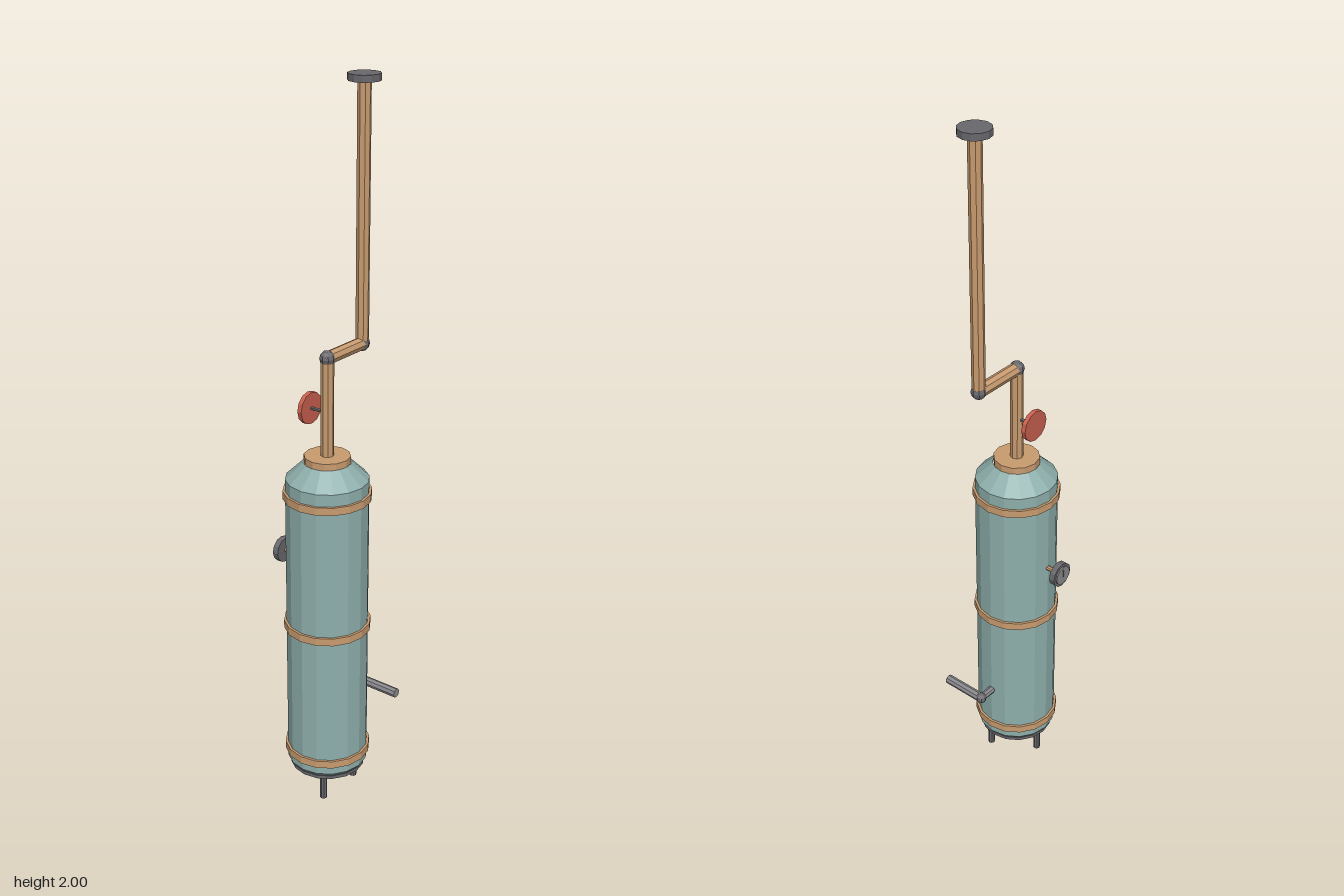
import * as THREE from 'three';

export function createModel() {
  const model = new THREE.Group();
  model.name = 'boiler';

  const material = (name, color) => {
    const m = new THREE.MeshStandardMaterial({ color, flatShading: true });
    m.name = name;
    return m;
  };
  const teal = material('teal enamel', 0x8fb0ad);
  const copper = material('copper', 0xc99c70);
  const iron = material('dark iron', 0x68686d);
  const steel = material('steel', 0x8a8a8e);
  const red = material('red paint', 0xc8604f);

  const X = -0.037, Z = 0.02;   // tank axis
  const PX = 0.112;             // upper flue axis

  const add = (name, geometry, mat, x, y, z) => {
    const mesh = new THREE.Mesh(geometry, mat);
    mesh.name = name;
    mesh.position.set(x, y, z);
    model.add(mesh);
    return mesh;
  };
  // Cylinder standing between two heights
  const upright = (name, mat, x, z, y0, y1, r0, r1, sides) =>
    add(name, new THREE.CylinderGeometry(r1, r0, y1 - y0, sides), mat, x, (y0 + y1) / 2, z);
  // Cylinder along the z axis
  const alongZ = (name, mat, x, y, z0, z1, r, sides) => {
    const g = new THREE.CylinderGeometry(r, r, z1 - z0, sides).rotateX(Math.PI / 2);
    return add(name, g, mat, x, y, (z0 + z1) / 2);
  };
  // Cylinder along the x axis
  const alongX = (name, mat, x0, x1, y, z, r, sides) => {
    const g = new THREE.CylinderGeometry(r, r, x1 - x0, sides).rotateZ(Math.PI / 2);
    return add(name, g, mat, (x0 + x1) / 2, y, z);
  };
  const joint = (name, mat, x, y, z, r) => add(name, new THREE.SphereGeometry(r, 8, 6), mat, x, y, z);

  // Tank with tapered foot and sloping shoulder
  const profile = [[0.1, 0.084], [0.113, 0.1], [0.113, 0.965], [0.064, 1.012]]
    .map(([r, y]) => new THREE.Vector2(r, y));
  add('tank', new THREE.LatheGeometry(profile, 16), teal, X, 0, Z);
  upright('tankBase', iron, X, Z, 0.078, 0.088, 0.105, 0.105, 16);
  upright('collar', copper, X, Z, 1.008, 1.03, 0.063, 0.063, 12);

  // Copper bands
  for (const y of [0.135, 0.53, 0.92]) {
    upright('band', copper, X, Z, y - 0.011, y + 0.011, 0.12, 0.12, 16);
  }

  // Three legs
  for (let i = 0; i < 3; i++) {
    const a = Math.PI + i * Math.PI * 2 / 3;
    upright('leg', iron, X + Math.sin(a) * 0.08, Z + Math.cos(a) * 0.08, 0, 0.082, 0.01, 0.01, 8);
  }

  // Stepped flue pipe with joints and end flange
  upright('lowerFlue', copper, X, Z, 1.02, 1.3, 0.018, 0.018, 8);
  alongX('crossFlue', copper, X, PX, 1.3, Z, 0.018, 8);
  upright('upperFlue', copper, PX, Z, 1.3, 1.985, 0.018, 0.018, 8);
  for (const x of [X, PX]) joint('flueJoint', iron, x, 1.3, Z, 0.021);
  upright('flange', iron, PX, Z, 1.982, 2, 0.043, 0.043, 12);

  // Valve wheel behind the flue
  alongZ('valveStem', iron, X, 1.15, -0.034, Z, 0.005, 6);
  alongZ('valveWheel', red, X, 1.15, -0.045, -0.032, 0.044, 12);

  // Pressure gauge at the back
  alongZ('gaugeStub', copper, X, 0.705, -0.128, -0.08, 0.007, 8);
  alongZ('gaugeCase', iron, X, 0.705, -0.143, -0.126, 0.036, 12);
  alongZ('gaugeFace', steel, X, 0.705, -0.147, -0.142, 0.028, 12);
  add('gaugeNeedle', new THREE.BoxGeometry(0.004, 0.022, 0.002), iron, X, 0.713, -0.148);

  // Drain tap at the side, spout pointing forward
  alongX('tapStub', steel, 0.065, 0.122, 0.265, Z, 0.011, 8);
  joint('tapJoint', iron, 0.122, 0.265, Z, 0.016);
  alongZ('tapSpout', steel, 0.122, 0.265, Z, 0.146, 0.0135, 8);

  return model;
}
